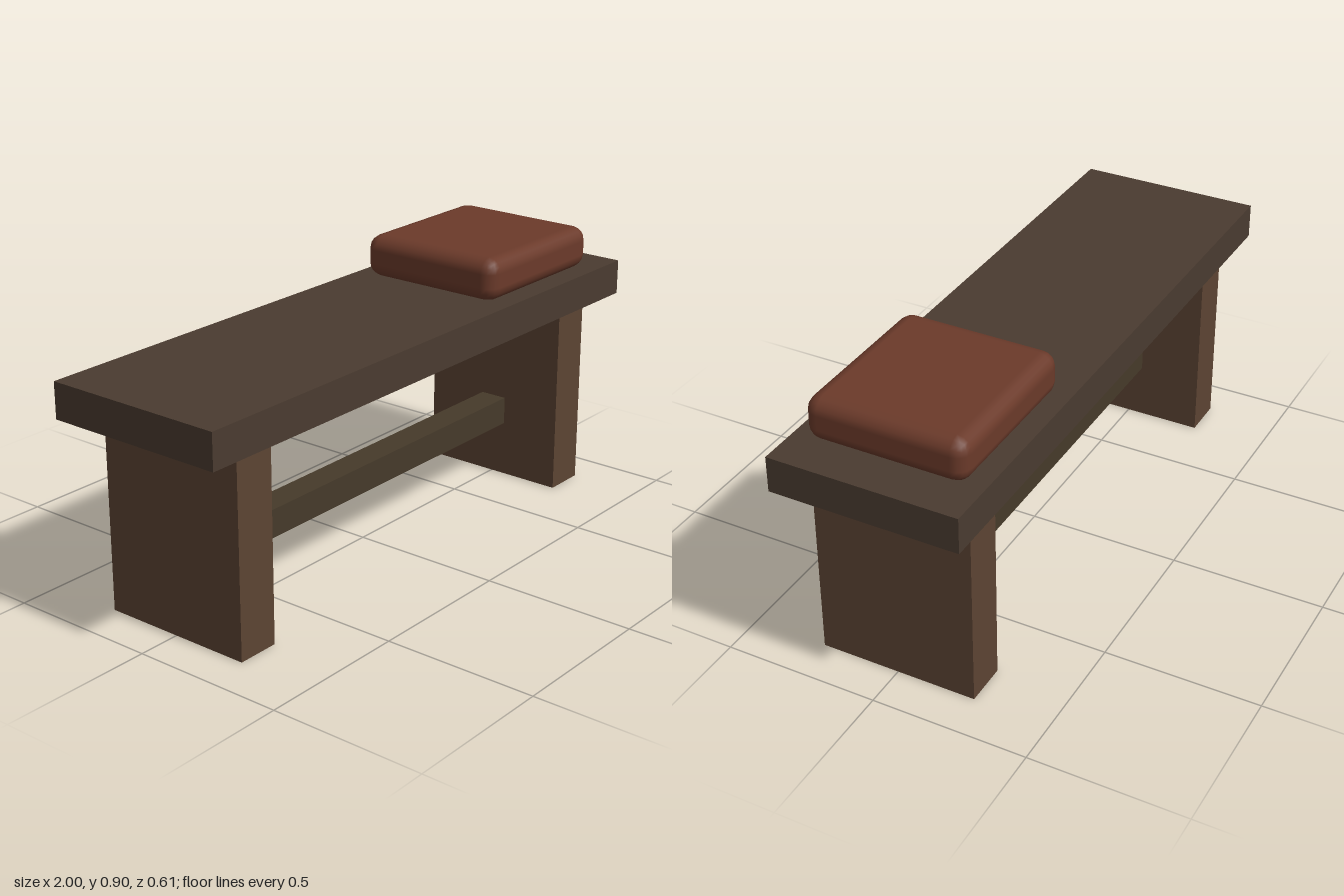
import * as THREE from 'three';
import { RoundedBoxGeometry } from 'three/addons/geometries/RoundedBoxGeometry.js';

export function createModel() {
  const model = new THREE.Group();
  model.name = 'bench';

  const topWood = new THREE.MeshStandardMaterial({ color: 0x4a3b30 });
  const legWood = new THREE.MeshStandardMaterial({ color: 0x5c4433 });
  const railWood = new THREE.MeshStandardMaterial({ color: 0x463a2a });
  const leather = new THREE.MeshStandardMaterial({ color: 0x6b3a2a });

  const add = (name, geometry, material, x, y, z) => {
    const mesh = new THREE.Mesh(geometry, material);
    mesh.name = name;
    mesh.position.set(x, y, z);
    model.add(mesh);
  };

  // Seat slab
  add('seat', new THREE.BoxGeometry(2, 0.115, 0.605), topWood, 0, 0.699, 0);

  // Slab legs, mirrored left and right
  for (const [name, side] of [['leftLeg', 1], ['rightLeg', -1]]) {
    add(name, new THREE.BoxGeometry(0.14, 0.642, 0.512), legWood, side * 0.79, 0.321, 0);
  }

  // Stretcher between the legs
  add('stretcher', new THREE.BoxGeometry(1.45, 0.093, 0.093), railWood, 0, 0.234, 0);

  // Soft cushion resting on the left end of the seat
  add('cushion', new RoundedBoxGeometry(0.558, 0.14, 0.512, 2, 0.047), leather, 0.604, 0.826, 0);

  return model;
}
